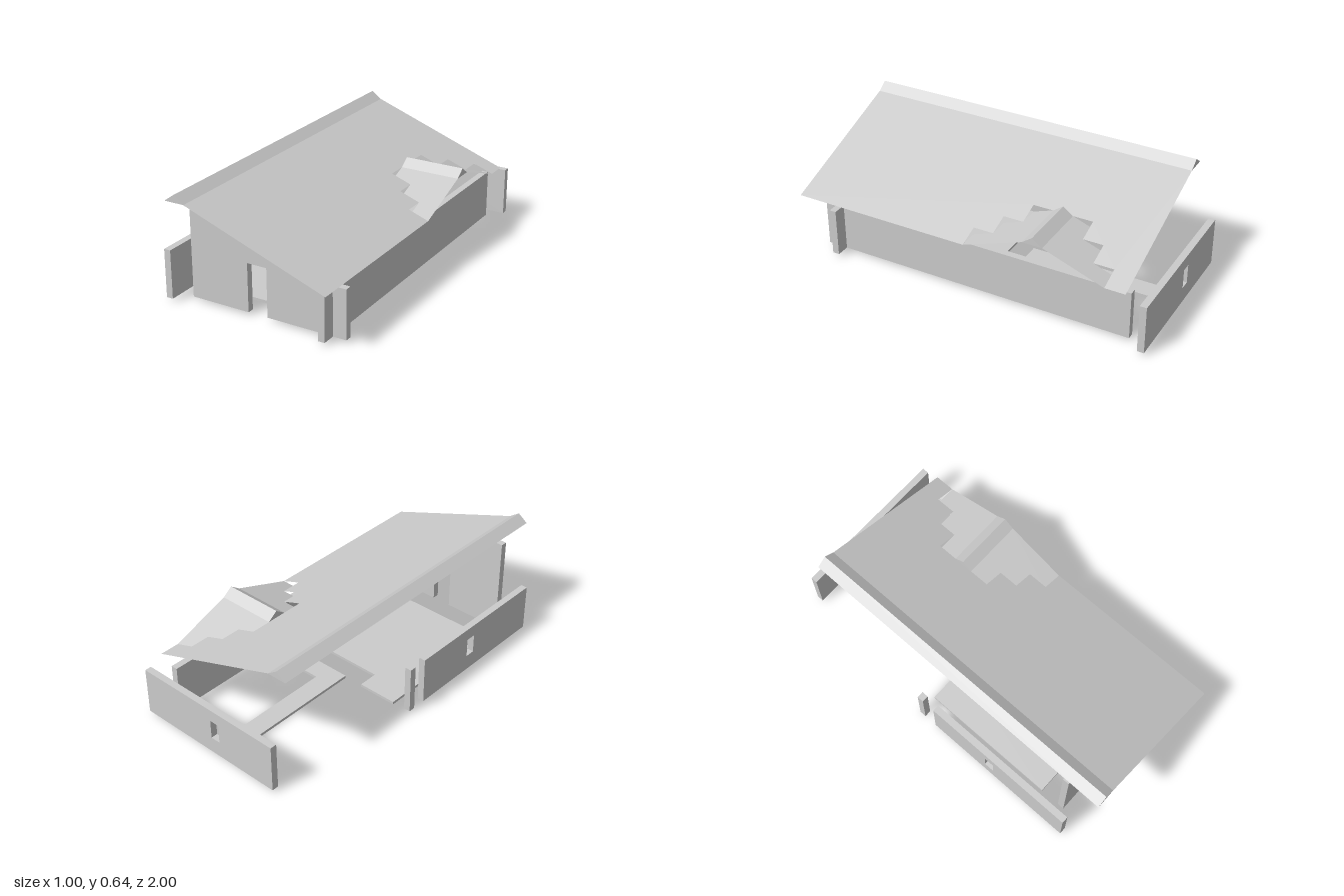
import * as THREE from 'three';

const U = 1 / 9;        // one building cell
const T = U / 3;        // wall thickness
const STEP = 0.04;      // roof rise per cell
const BASE = 0.015;     // top of the floor slabs
const WALL = 0.28;      // wall height

const solid = new THREE.MeshStandardMaterial({ color: 0xcccccc, flatShading: true });
const thin = new THREE.MeshStandardMaterial({ color: 0xcccccc, flatShading: true, side: THREE.DoubleSide });

function add(parent, name, geometry, material = solid) {
  const mesh = new THREE.Mesh(geometry, material);
  mesh.name = name;
  parent.add(mesh);
  return mesh;
}

const toShape = pts => new THREE.Shape(pts.map(([x, y]) => new THREE.Vector2(x, y)));

const rect = (x0, y0, x1, y1) => [[x0, y0], [x1, y0], [x1, y1], [x0, y1]];

// Upright panel drawn in (x, y), with optional holes
function panel(pts, holes = []) {
  const shape = toShape(pts);
  shape.holes = holes.map(toShape);
  return new THREE.ExtrudeGeometry(shape, { depth: T, bevelEnabled: false });
}

// Horizontal slab drawn in (x, z)
function slab(pts) {
  const geo = new THREE.ExtrudeGeometry(toShape(pts.map(([x, z]) => [x, -z])), { depth: BASE, bevelEnabled: false });
  return geo.rotateX(-Math.PI / 2);
}

// Thin sheet drawn in (x, z), lifted to height(x, z)
function sheet(pts, height) {
  const geo = new THREE.ShapeGeometry(toShape(pts.map(([x, z]) => [x, -z])));
  const p = geo.attributes.position;
  for (let i = 0; i < p.count; i++) {
    const x = p.getX(i), z = -p.getY(i);
    p.setXYZ(i, x, height(x, z), z);
  }
  geo.computeVertexNormals();
  return geo;
}

// Ridge cap along z: two small slopes and a triangle at every cell boundary
function ridgeCap(name, cells) {
  const cap = new THREE.Group();
  cap.name = name;
  const h = U / 2, length = cells * U;
  const height = x => STEP * (1 - Math.abs(x) / h);
  add(cap, 'capSlope', sheet(rect(-h, 0, 0, length), height), thin);
  add(cap, 'capSlope', sheet(rect(0, 0, h, length), height), thin);
  const triangle = new THREE.ShapeGeometry(toShape([[-h, 0], [h, 0], [0, STEP]]));
  for (let i = 0; i <= cells; i++) add(cap, 'capRib', triangle, thin).position.z = i * U;
  return cap;
}

export function createModel() {
  const house = new THREE.Group();
  house.name = 'house';
  const left = -3.5 * U, right = 4.5 * U;

  // Front wall: top steps down under the roof, doorway in the middle
  const front = [[left, BASE], [-U / 2, BASE], [-U / 2, WALL], [U / 2, WALL], [U / 2, BASE], [right, BASE]];
  for (let i = 7; i >= 0; i--) {
    const y = 0.56 - STEP * i;
    front.push([left + (i + 1) * U, y], [left + i * U, y]);
  }
  add(house, 'frontWall', panel(front)).position.z = 7 * U;

  // Back wall with a small window
  const windowAt = c => rect(c - 0.028, 0.105, c + 0.028, 0.212);
  add(house, 'backWall', panel(rect(left, BASE, right, WALL), [windowAt(0)])).position.z = -1;

  // Side walls and door post
  const leftSide = add(house, 'windowSideWall', panel(rect(-8 * U, BASE, 0, WALL), [windowAt(-3.5 * U)]));
  leftSide.rotation.y = Math.PI / 2;
  leftSide.position.x = -0.5;
  const wallBox = (name, x, z0, z1) => {
    const geo = new THREE.BoxGeometry(T, WALL - BASE, z1 - z0);
    add(house, name, geo).position.set(x + T / 2, (WALL + BASE) / 2, (z0 + z1) / 2);
  };
  wallBox('longSideWall', 3.5 * U, -8 * U, 8 * U);
  wallBox('doorPost', -0.5, -U, -U + T);

  // Floor slabs
  add(house, 'mainFloor', slab([
    [left, 6 * U], [2.5 * U, 6 * U], [2.5 * U, 0], [-1.5 * U, 0], [-1.5 * U, -U], [left, -U]]));
  add(house, 'cornerFloor', slab([
    [-U / 2, -U], [2.5 * U, -U], [2.5 * U, -2 * U], [U / 2, -2 * U], [U / 2, -8 * U], [-U / 2, -8 * U]]));

  // Main roof slope with a stepped notch at the eave for the dormer
  const eaveToValley = [
    [right, 0], [3.5 * U, 0], [3.5 * U, -U], [2.5 * U, -U], [2.5 * U, -2 * U], [1.5 * U, -2 * U]];
  const mirrorZ = ([x, z]) => [x, -7 * U - z];
  const roof = [
    [-2.5 * U, 1], [right, 1], ...eaveToValley, ...eaveToValley.map(mirrorZ).reverse(),
    [right, -8 * U], [-2.5 * U, -8 * U]];
  add(house, 'mainRoof', sheet(roof, x => 0.6 - STEP * (x / U + 2.5)), thin);

  const ridge = ridgeCap('mainRidge', 17);
  ridge.position.set(-3 * U, 0.6, -8 * U);
  house.add(ridge);

  // Dormer: two stepped slopes and a ridge running along x
  const slope = [...eaveToValley, [1.5 * U, -3 * U], [right, -3 * U]];
  const fall = (x, z) => 0.44 - STEP * (Math.abs(z + 3.5 * U) / U - 0.5);
  add(house, 'dormerFrontSlope', sheet(slope, fall), thin);
  add(house, 'dormerBackSlope', sheet(slope.map(mirrorZ), fall), thin);

  const dormerRidge = ridgeCap('dormerRidge', 3);
  dormerRidge.rotation.y = Math.PI / 2;
  dormerRidge.position.set(1.5 * U, 0.44, -3.5 * U);
  house.add(dormerRidge);

  return house;
}
